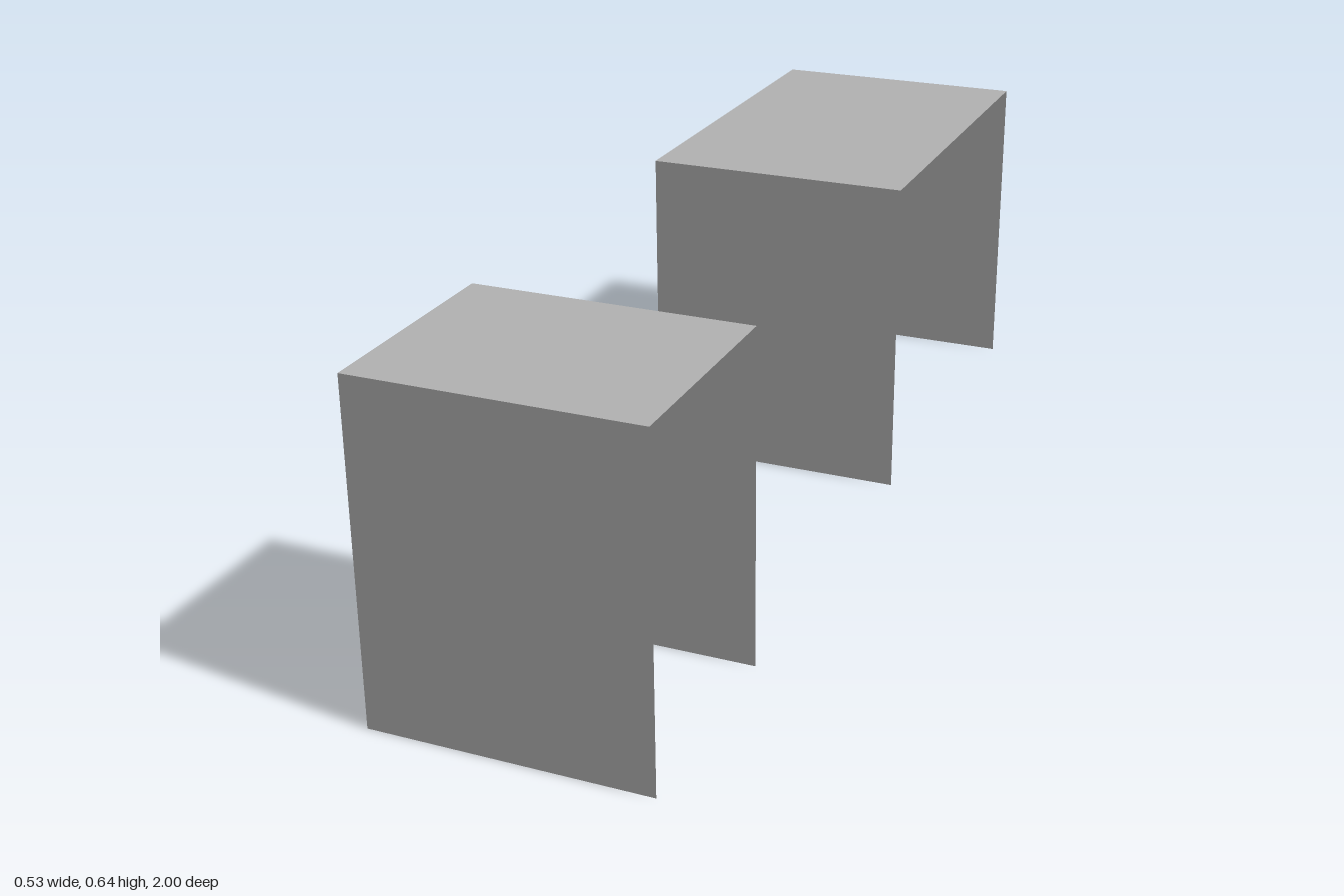
import * as THREE from 'three';

const H = 0.645, XL = -0.263, XR = 0.265, RECESS = 0.02;
const grey = new THREE.MeshStandardMaterial({ color: 0xb2b2b2, side: THREE.DoubleSide });
grey.name = 'cabinetGrey';

function add(parent, name, geometry) {
  const mesh = new THREE.Mesh(geometry, grey);
  mesh.name = name;
  parent.add(mesh);
  return mesh;
}

// rectangle with cut corners, anticlockwise
function cutRect(u0, u1, v0, v1, cu, cv) {
  return [[u0 + cu, v0], [u1 - cu, v0], [u1, v0 + cv], [u1, v1 - cv],
    [u1 - cu, v1], [u0 + cu, v1], [u0, v1 - cv], [u0, v0 + cv]];
}

const opening = (u0, u1, inset = 0) =>
  cutRect(u0 + inset, u1 - inset, 0.016 + inset, 0.628 - inset, 0.025, 0.03);

// recessed pan with a very slightly raised centre, lofted through the loops
function doorGeometry(u0, u1) {
  const loops = [[0, 0], [0, -RECESS], [0.025, -RECESS], [0.05, -RECESS + 0.003]]
    .map(([inset, w]) => opening(u0, u1, inset).map(([u, v]) => [u, v, w]));
  const pos = [];
  for (let i = 0; i < loops.length - 1; i++) {
    for (let j = 0; j < 8; j++) {
      const k = (j + 1) % 8;
      const a = loops[i][j], b = loops[i][k], c = loops[i + 1][k], d = loops[i + 1][j];
      pos.push(...a, ...b, ...c, ...a, ...c, ...d);
    }
  }
  const last = loops[loops.length - 1];
  for (let j = 1; j < 7; j++) pos.push(...last[0], ...last[j], ...last[j + 1]);
  const g = new THREE.BufferGeometry();
  g.setAttribute('position', new THREE.Float32BufferAttribute(pos, 3));
  g.computeVertexNormals();
  return g;
}

// bowed pull on two round mounts
function makeHandle(u) {
  const handle = new THREE.Group();
  handle.name = 'handle';
  const y = 0.334, half = 0.06;
  const path = new THREE.QuadraticBezierCurve3(
    new THREE.Vector3(u, y - half, -RECESS),
    new THREE.Vector3(u, y, 0.018),
    new THREE.Vector3(u, y + half, -RECESS));
  add(handle, 'handleGrip', new THREE.TubeGeometry(path, 16, 0.006, 8));
  for (const s of [-1, 1]) {
    const mount = add(handle, 'handleMount', new THREE.CylinderGeometry(0.009, 0.009, 0.008, 12));
    mount.rotation.x = Math.PI / 2;
    mount.position.set(u, y + s * (half - 0.003), -RECESS + 0.002);
  }
  return handle;
}

// doors: [z start, z end, handle z]
function makeCabinet(name, z0, z1, doors) {
  const cabinet = new THREE.Group();
  cabinet.name = name;
  const w = XR - XL, xm = (XL + XR) / 2;

  // shell, open underneath and on the side opposite the doors
  const top = add(cabinet, 'top', new THREE.PlaneGeometry(w, z1 - z0));
  top.rotation.x = -Math.PI / 2;
  top.position.set(xm, H, (z0 + z1) / 2);
  const front = add(cabinet, 'frontPanel', new THREE.PlaneGeometry(w, H));
  front.position.set(xm, H / 2, z1);
  const back = add(cabinet, 'backPanel', new THREE.PlaneGeometry(w, H));
  back.rotation.y = Math.PI;
  back.position.set(xm, H / 2, z0);

  // door side, drawn in (z, y) and turned to face -x
  const side = new THREE.Group();
  side.name = 'doorSide';
  side.rotation.y = -Math.PI / 2;
  side.position.x = XL;
  cabinet.add(side);
  const toPoints = (list) => list.map(([u, v]) => new THREE.Vector2(u, v));
  const frame = new THREE.Shape(toPoints([[z0, 0], [z1, 0], [z1, H], [z0, H]]));
  for (const [a, b, handleZ] of doors) {
    frame.holes.push(new THREE.Path(toPoints(opening(a, b).reverse())));
    add(side, 'door', doorGeometry(a, b));
    side.add(makeHandle(handleZ));
  }
  add(side, 'doorFrame', new THREE.ShapeGeometry(frame));
  return cabinet;
}

export function createModel() {
  const model = new THREE.Group();
  model.name = 'cabinets';
  model.add(makeCabinet('doubleCabinet', -1, -0.197,
    [[-0.977, -0.621, -0.657], [-0.573, -0.217, -0.535]]));
  model.add(makeCabinet('singleCabinet', 0.575, 1, [[0.599, 0.977, 0.637]]));
  return model;
}
